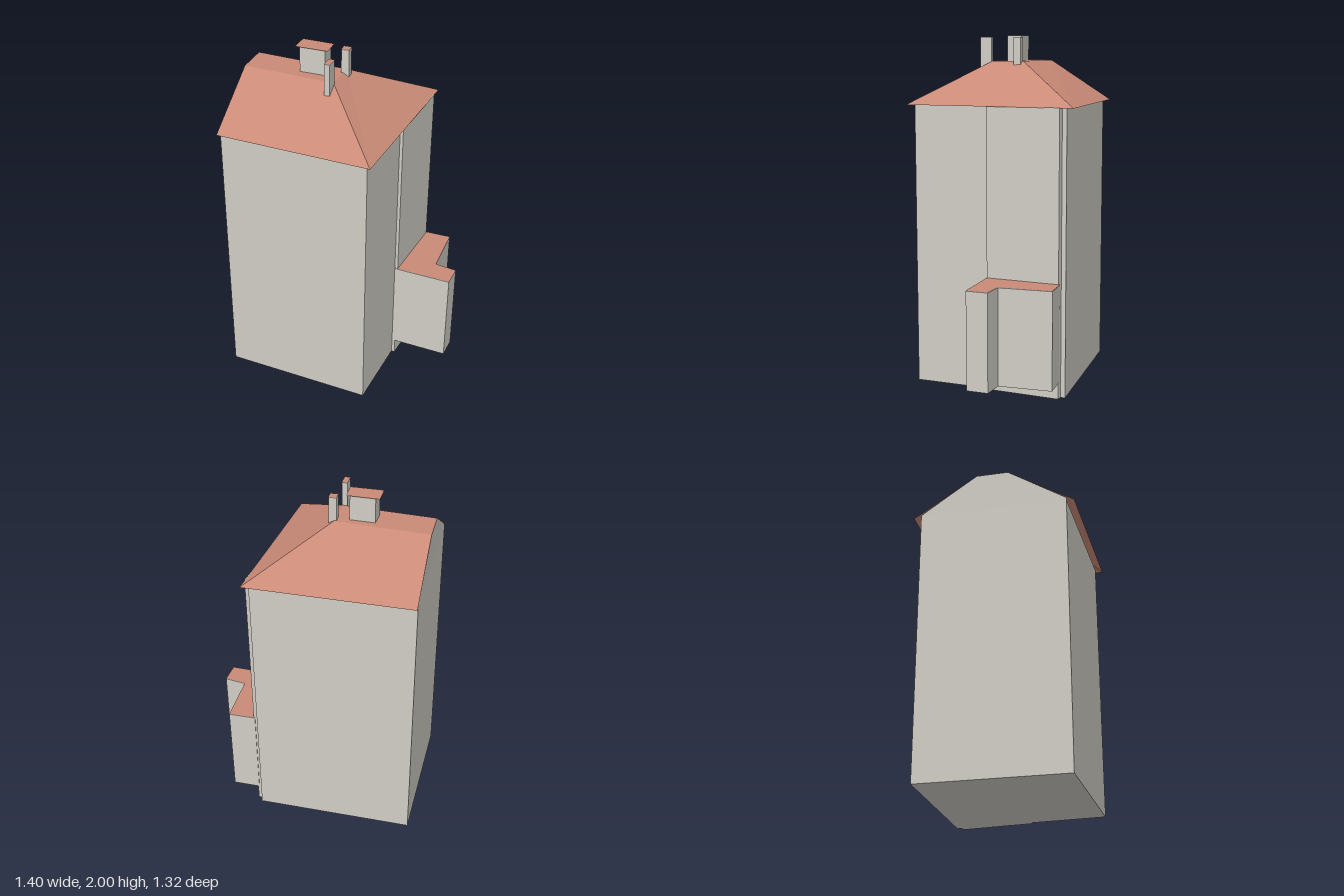
import * as THREE from 'three';

const wall = new THREE.MeshStandardMaterial({ color: 0xd0cdc5, side: THREE.DoubleSide });
wall.name = 'stone grey';
const tile = new THREE.MeshStandardMaterial({ color: 0xca8a77, side: THREE.DoubleSide });
tile.name = 'terracotta';

// Plan outlines are lists of [x, z]
const outline = (pts) => new THREE.Shape(pts.map(([x, z]) => new THREE.Vector2(x, -z)));

// Upright block over a plan outline
function prism(name, pts, y0, y1) {
  const g = new THREE.ExtrudeGeometry(outline(pts), { depth: y1 - y0, bevelEnabled: false });
  g.rotateX(-Math.PI / 2).translate(0, y0, 0);
  const m = new THREE.Mesh(g, wall);
  m.name = name;
  return m;
}

// Flat tiled sheet over a plan outline
function sheet(name, pts, y) {
  const g = new THREE.ShapeGeometry(outline(pts));
  g.rotateX(-Math.PI / 2).translate(0, y, 0);
  const m = new THREE.Mesh(g, tile);
  m.name = name;
  return m;
}

// Flat-shaded faces, each a convex loop of [x, y, z] corners
function faces(name, loops, material) {
  const pos = [];
  for (const l of loops)
    for (let i = 1; i < l.length - 1; i++) pos.push(...l[0], ...l[i], ...l[i + 1]);
  const g = new THREE.BufferGeometry();
  g.setAttribute('position', new THREE.Float32BufferAttribute(pos, 3));
  g.computeVertexNormals();
  const m = new THREE.Mesh(g, material);
  m.name = name;
  return m;
}

export function createModel() {
  const house = new THREE.Group();
  house.name = 'house';

  // Main walls and the slightly raised front bay
  const left = [-0.667, -0.04], back = [-0.042, -0.63];
  house.add(prism('mainWalls', [left, [-0.105, 0.61], [0.595, 0.04], back], 0, 1.612));
  house.add(prism('frontBay', [[0.235, 0.325], [0.25, 0.345], [0.592, 0.085], [0.574, 0.055]], 0, 1.612));

  // Roof: two slopes, flat ridge strip and hipped front
  const eave = 1.61, top = 1.85;
  const A = [-0.7, eave, -0.01], B = [-0.013, eave, -0.662];
  const C = [0.65, eave, 0.035], D = [-0.115, eave, 0.66];
  const r1 = [-0.42, top, -0.276], r2 = [-0.07, top, 0.13];
  const r3 = [0.07, top, 0.005], r4 = [-0.285, top, -0.404];
  house.add(faces('roof', [
    [A, D, r2, r1],
    [D, C, r3, r2],
    [C, B, r4, r3],
    [r1, r2, r3, r4],
  ], tile));

  // Gable closing the back end of the roof
  const at = ([x, z], y) => [x, y, z];
  house.add(faces('gable', [
    [at(left, 1.61), at(left, 1.628), r1, r4, at(back, 1.628), at(back, 1.61)],
  ], wall));

  // L-shaped annex, raised off the ground, with a flat tiled top
  const annex = [[0.24, 0.335], [0.46, 0.585], [0.555, 0.505], [0.48, 0.4], [0.7, 0.19], [0.59, 0.075]];
  house.add(prism('annex', annex, 0.095, 0.648));
  house.add(sheet('annexRoof', annex, 0.651));

  // Large chimney with an overhanging cap
  house.add(prism('largeChimney', [[-0.107, -0.135], [-0.01, -0.03], [-0.072, 0.03], [-0.175, -0.078]], 1.8, 1.997));
  house.add(sheet('largeChimneyCap', [[-0.117, -0.16], [0.01, -0.025], [-0.067, 0.05], [-0.198, -0.085]], 2));

  // Two slim chimneys
  const slim = [
    [[-0.14, 0.16], [-0.09, 0.115], [-0.068, 0.138], [-0.118, 0.183]],
    [[0.055, 0], [0.086, 0.032], [0.055, 0.062], [0.023, 0.032]],
  ];
  for (const pts of slim) {
    house.add(prism('slimChimney', pts, 1.79, 1.987));
    house.add(sheet('slimChimneyTop', pts, 1.99));
  }
  return house;
}
